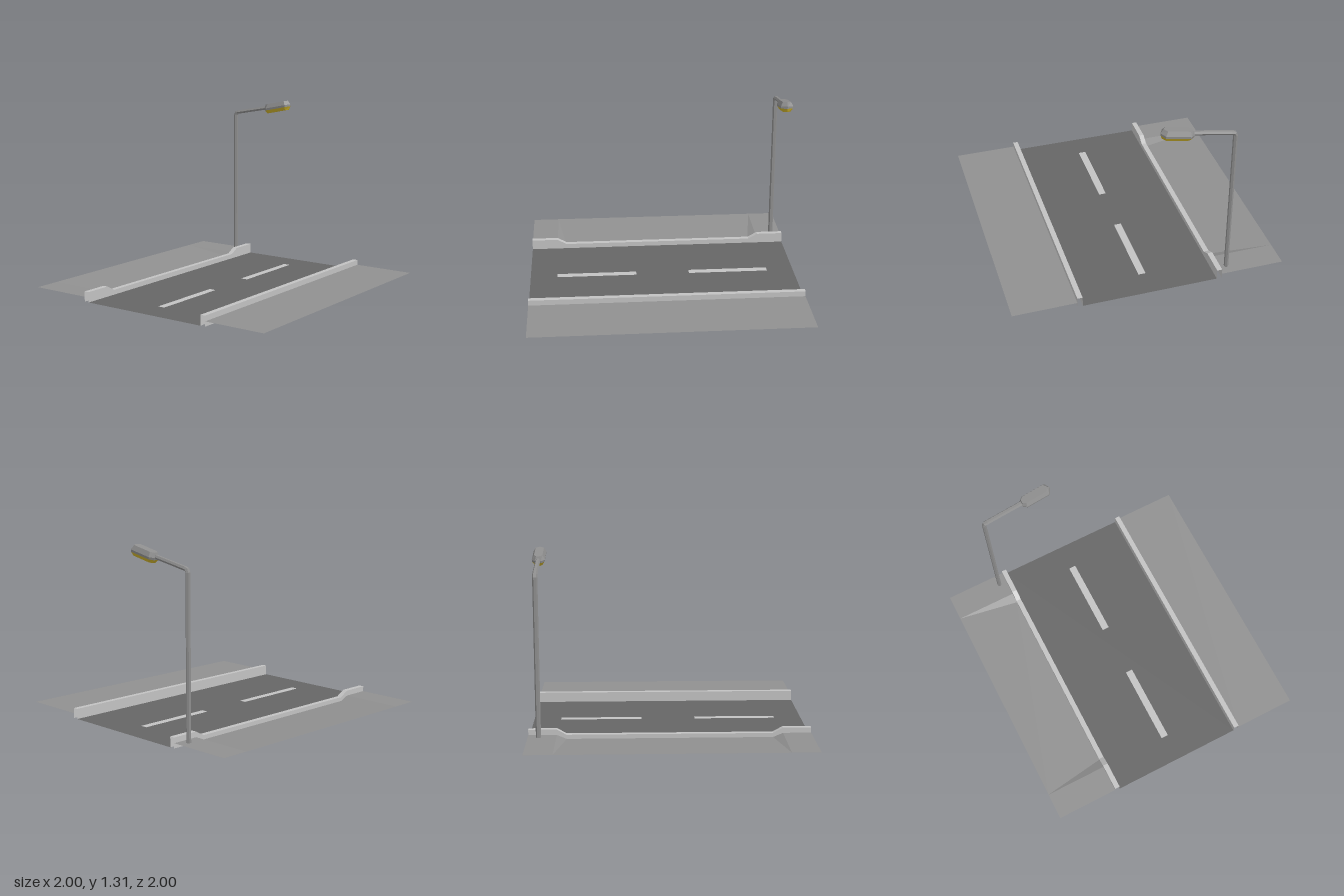
import * as THREE from 'three';

const flat = (name, color, side = THREE.FrontSide) =>
  Object.assign(new THREE.MeshStandardMaterial({ color, side, flatShading: true }), { name });

function fromTriangles(points) {
  const g = new THREE.BufferGeometry().setFromPoints(points);
  g.computeVertexNormals();
  return g;
}

// Open surface through rows of points
function sheet(rows) {
  const out = [];
  for (let r = 0; r < rows.length - 1; r++)
    for (let i = 0; i < rows[r].length - 1; i++) {
      const [a, b, c, d] = [rows[r][i], rows[r][i + 1], rows[r + 1][i + 1], rows[r + 1][i]];
      out.push(a, b, c, a, c, d);
    }
  return fromTriangles(out);
}

// Closed solid through rings that run counter-clockwise seen from the last ring
function loft(rings) {
  const out = [], n = rings[0].length, last = rings[rings.length - 1];
  for (let r = 0; r < rings.length - 1; r++)
    for (let i = 0; i < n; i++) {
      const j = (i + 1) % n, A = rings[r], B = rings[r + 1];
      out.push(A[i], A[j], B[j], A[i], B[j], B[i]);
    }
  for (let i = 1; i < n - 1; i++) {
    out.push(last[0], last[i], last[i + 1]);
    out.push(rings[0][0], rings[0][i + 1], rings[0][i]);
  }
  return fromTriangles(out);
}

const V = (x, y, z) => new THREE.Vector3(x, y, z);

export function createModel() {
  const model = new THREE.Group();
  model.name = 'streetSection';
  const asphalt = flat('asphalt', 0x666666, THREE.DoubleSide);
  const paving = flat('paving', 0x909090, THREE.DoubleSide);
  const kerbStone = flat('kerbStone', 0xc2c2c2, THREE.DoubleSide);
  const metal = flat('lampMetal', 0x8e8e8e);
  const glow = flat('lampLens', 0xcbb02c);

  const add = (name, geometry, material, parent = model) => {
    const mesh = new THREE.Mesh(geometry, material);
    mesh.name = name;
    parent.add(mesh);
    return mesh;
  };

  const INNER = 0.497, OUTER = 0.535, WALK = 0.036, TOP = 0.075, DIP = 0.006;

  // Road and centre dashes
  add('road', new THREE.PlaneGeometry(2, 2 * INNER).rotateX(-Math.PI / 2), asphalt);
  for (const x of [-0.5, 0.5])
    add('centreDash', new THREE.PlaneGeometry(0.6, 0.054).rotateX(-Math.PI / 2), kerbStone)
      .position.set(x, 0.003, 0);

  // Kerbs: hollow profile swept along x, the rear one lowered for a driveway
  const kerb = (name, side, stations) => {
    const rows = stations.map(([x, top]) => [
      V(x, 0, side * INNER), V(x, top, side * INNER), V(x, top, side * OUTER), V(x, 0, side * OUTER)]);
    if (side > 0) rows.reverse();
    add(name, sheet(rows), kerbStone);
  };
  kerb('frontKerb', 1, [[-1, TOP], [1, TOP]]);
  kerb('rearKerb', -1, [[-1, TOP], [-0.8, TOP], [-0.73, WALK], [0.73, WALK], [0.8, TOP], [1, TOP]]);

  // Front pavement
  add('frontPavement', sheet([
    [V(-1, WALK, OUTER), V(-1, WALK, 1)],
    [V(1, WALK, OUTER), V(1, WALK, 1)]]), paving);

  // Rear pavement, dipping to the lowered kerb with a triangular flare at each side
  const edge = [[-1, WALK, -1], [-0.8, WALK, -0.8], [-0.73, DIP, -0.8],
    [0.73, DIP, 0.8], [0.8, WALK, 0.8], [1, WALK, 1]];
  add('rearPavement', sheet(edge.map(([x, y, backX]) => [V(backX, WALK, -1), V(x, y, -OUTER)])), paving);

  // Lamp post: six-sided tube, bent towards the road at the top
  const lamp = new THREE.Group();
  lamp.name = 'streetLamp';
  lamp.position.x = 0.924;
  model.add(lamp);
  const path = [[0.02, -0.595, 90], [1.168, -0.595, 84], [1.188, -0.587, 48], [1.194, -0.565, 13], [1.245, -0.28, 11]];
  add('postAndArm', loft(path.map(([y, z, degrees]) => {
    const a = THREE.MathUtils.degToRad(degrees);
    return Array.from({ length: 6 }, (_, i) => {
      const t = i * Math.PI / 3, c = 0.018 * Math.cos(t), s = 0.016 * Math.sin(t);
      return V(c, y + s * Math.cos(a), z - s * Math.sin(a));
    });
  })), metal, lamp);

  // Lamp head: one plan outline stacked in scaled layers
  const head = new THREE.Group();
  head.name = 'lampHead';
  head.position.set(0, 1.25, -0.292);
  head.rotation.x = -0.2;
  lamp.add(head);
  const outline = [[0.046, 0.205], [0.046, 0.022], [0.022, -0.008],
    [-0.022, -0.008], [-0.046, 0.022], [-0.046, 0.205], [0, 0.23]];
  const layer = ([y, sx, sz]) => outline.map(([x, z]) => V(x * sx, y, 0.11 + (z - 0.11) * sz));
  add('housing', loft([[-0.028, 0.96, 0.98], [-0.012, 1, 1], [0.02, 0.65, 0.88]].map(layer)), metal, head);
  add('lens', loft([[-0.053, 0.62, 0.84], [-0.028, 0.94, 0.97]].map(layer)), glow, head);

  return model;
}
